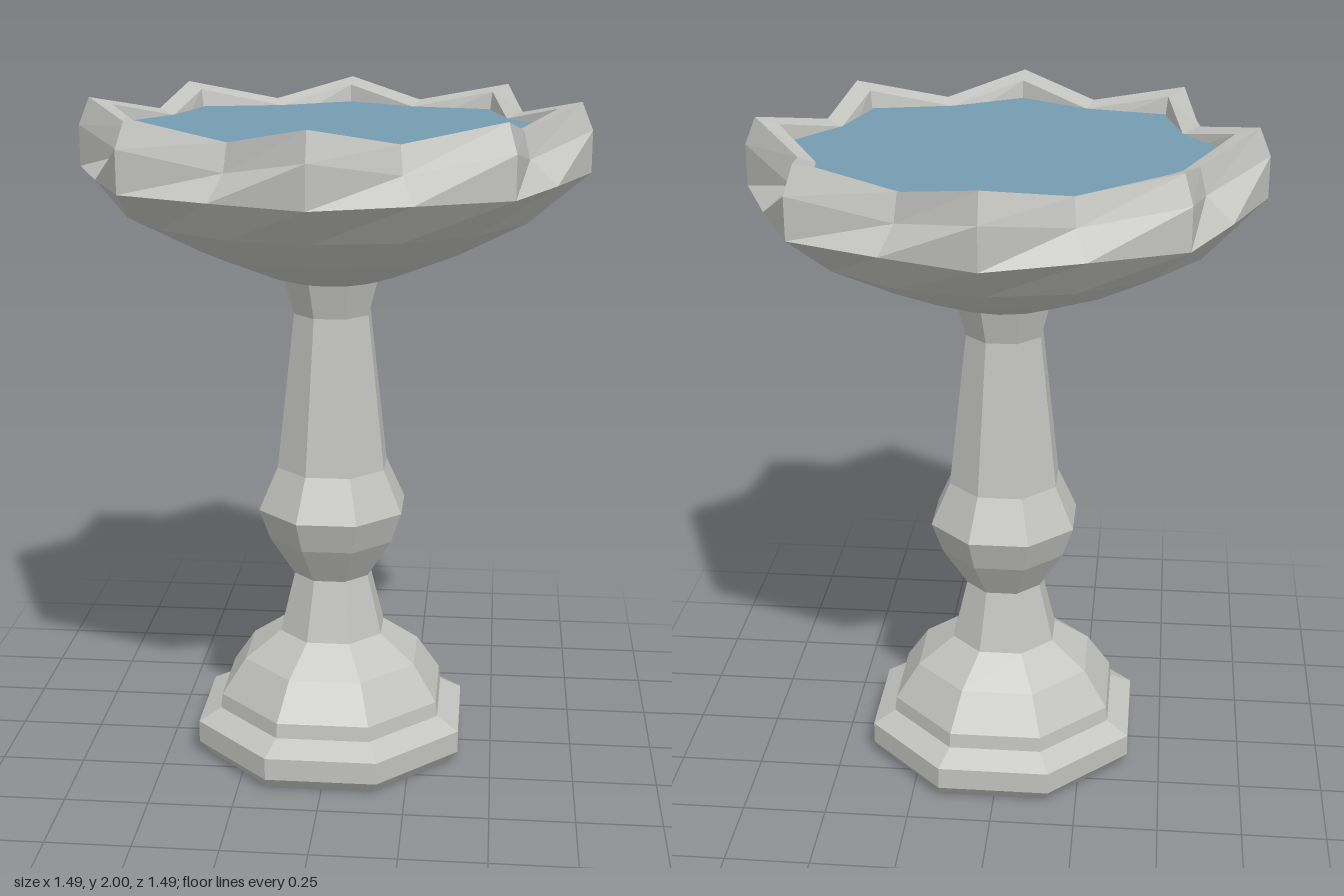
import * as THREE from 'three';

const stone = new THREE.MeshStandardMaterial({ color: 0xc2c3bf });
stone.name = 'stone';
const water = new THREE.MeshStandardMaterial({ color: 0x759bb0 });
water.name = 'water';

// Faceted skin through rings of [radius, y, odd-corner radius, odd-corner y].
function facetedSkin(rings, sides, turn = 0) {
  const positions = [];
  const corner = (j, i) => {
    const [r, y, oddR = r, oddY = y] = rings[j];
    const a = turn + (i / sides) * Math.PI * 2;
    const odd = i % 2 === 1;
    const radius = odd ? oddR : r;
    return [radius * Math.sin(a), odd ? oddY : y, radius * Math.cos(a)];
  };
  for (let j = 0; j < rings.length - 1; j++) {
    for (let i = 0; i < sides; i++) {
      const bl = corner(j, i), br = corner(j, i + 1);
      const tr = corner(j + 1, i + 1), tl = corner(j + 1, i);
      if (rings[j][0] > 0) positions.push(...bl, ...br, ...tr);
      if (rings[j + 1][0] > 0) positions.push(...bl, ...tr, ...tl);
    }
  }
  const geometry = new THREE.BufferGeometry();
  geometry.setAttribute('position', new THREE.Float32BufferAttribute(positions, 3));
  geometry.computeVertexNormals();
  return geometry;
}

// Eight-sided part with a flat side to the front; radii are measured to the flats.
function octagonal(profile) {
  const k = 1 / Math.cos(Math.PI / 8);
  return facetedSkin(profile.map(([r, y]) => [r * k, y]), 8, Math.PI / 8);
}

export function createModel() {
  const group = new THREE.Group();
  group.name = 'birdBath';
  const add = (name, geometry, material) => {
    const mesh = new THREE.Mesh(geometry, material);
    mesh.name = name;
    group.add(mesh);
  };

  // Plinth and domed foot
  add('base', octagonal([
    [0, 0], [0.37, 0], [0.4, 0.04], [0.4, 0.108], [0.335, 0.145],
    [0.33, 0.19], [0.26, 0.3], [0.155, 0.38],
  ]), stone);

  // Baluster stem
  add('stem', octagonal([
    [0.155, 0.38], [0.112, 0.565], [0.183, 0.685], [0.215, 0.78],
    [0.16, 0.91], [0.11, 1.38], [0.138, 1.49],
  ]), stone);

  // Bowl: round below, eight-pointed at the rim, then down the inner wall
  add('bowl', facetedSkin([
    [0, 1.485], [0.15, 1.485], [0.2, 1.5], [0.4, 1.583], [0.605, 1.69],
    [0.743, 1.8, 0.693, 1.8],
    [0.743, 1.92, 0.61, 1.867],
    [0.71, 2, 0.59, 1.945],
    [0.642, 1.98, 0.54, 1.927],
    [0.625, 1.87, 0.525, 1.87],
  ], 16), stone);

  // Water surface
  add('water', facetedSkin([[0.628, 1.928, 0.541, 1.928], [0, 1.928]], 16), water);

  return group;
}
